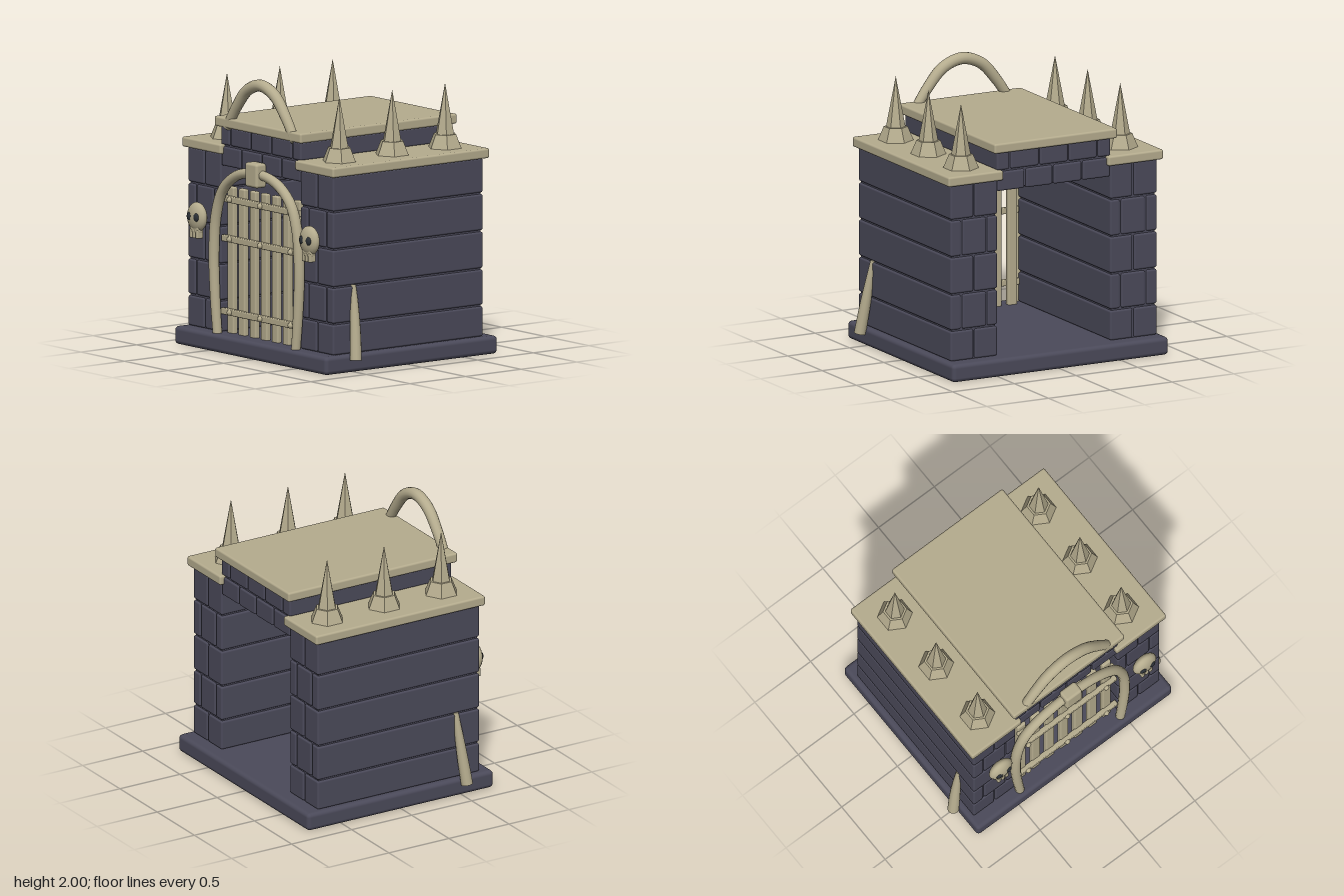
import * as THREE from 'three';
import { RoundedBoxGeometry } from 'three/addons/geometries/RoundedBoxGeometry.js';

const mat = (name, color, flat = false) => {
  const m = new THREE.MeshStandardMaterial({ color, flatShading: flat });
  m.name = name;
  return m;
};

export function createModel() {
  const stone = mat('slate stone', 0x4b4a5a);
  const bone = mat('bone', 0xb5ac8e);
  const boneFlat = mat('faceted bone', 0xb5ac8e, true);
  const dark = mat('eye socket', 0x2b3036);
  const model = new THREE.Group();
  model.name = 'crypt';

  const group = (name) => {
    const g = new THREE.Group();
    g.name = name;
    model.add(g);
    return g;
  };
  const add = (parent, name, geo, material, x = 0, y = 0, z = 0) => {
    const m = new THREE.Mesh(geo, material);
    m.name = name;
    m.position.set(x, y, z);
    parent.add(m);
    return m;
  };
  // Rounded block given by its limits on each axis
  const block = (parent, name, material, [x0, x1], [y0, y1], [z0, z1], r = 0.012) =>
    add(parent, name, new RoundedBoxGeometry(x1 - x0, y1 - y0, z1 - z0, 2, r), material,
      (x0 + x1) / 2, (y0 + y1) / 2, (z0 + z1) / 2);

  // Round tube along points, with a radius that varies and flat end discs
  const horn = (parent, name, pts, radiusAt, segs = 40, sides = 14) => {
    const curve = new THREE.CatmullRomCurve3(pts.map((p) => new THREE.Vector3(...p)));
    const geo = new THREE.TubeGeometry(curve, segs, 1, sides);
    const pos = geo.attributes.position, nor = geo.attributes.normal;
    const p = new THREE.Vector3(), n = new THREE.Vector3();
    for (let i = 0; i < pos.count; i++) {
      const t = Math.floor(i / (sides + 1)) / segs;
      n.fromBufferAttribute(nor, i);
      curve.getPointAt(t, p).addScaledVector(n, radiusAt(t));
      pos.setXYZ(i, p.x, p.y, p.z);
    }
    add(parent, name, geo, bone);
    for (const t of [0, 1]) {
      const c = curve.getPointAt(t);
      const disc = add(parent, name + 'End', new THREE.CircleGeometry(radiusAt(t), sides), bone, c.x, c.y, c.z);
      const dir = curve.getTangentAt(t).multiplyScalar(t ? 1 : -1);
      disc.quaternion.setFromUnitVectors(new THREE.Vector3(0, 0, 1), dir);
    }
  };

  // Floor slab
  block(model, 'base', stone, [-0.875, 0.875], [0, 0.13], [-0.785, 0.765], 0.03);

  // Courses of long blocks over a recessed core
  const wallZ = [-0.68, 0.668], capZ = [-0.713, 0.697], gap = 0.006;
  const course = (parent, xs, y0, y1) => {
    for (let i = 0; i < xs.length - 1; i++) {
      block(parent, 'brick', stone, [xs[i] + (i ? gap : 0), xs[i + 1] - (i < xs.length - 2 ? gap : 0)],
        [y0 + gap, y1 - gap], wallZ, 0.014);
    }
  };
  const core = (parent, x0, x1, y0, y1) => add(parent, 'core',
    new THREE.BoxGeometry(x1 - x0 - 0.028, y1 - y0, 1.32), stone, (x0 + x1) / 2, (y0 + y1) / 2, -0.006);

  // Side walls with bone caps and spikes
  const rows = [0.125, 0.352, 0.615, 0.887, 1.157, 1.416];
  for (const s of [-1, 1]) {
    const wall = group(s > 0 ? 'leftWall' : 'rightWall');
    const mir = (a) => (s > 0 ? a : a.map((v) => -v).reverse());
    const [w0, w1] = mir([0.457, 0.835]);
    core(wall, w0, w1, 0.12, 1.41);
    for (let r = 0; r < 5; r++) {
      const xs = r % 2 ? [0.457, 0.542, 0.745, 0.835] : [0.457, 0.645, 0.835];
      course(wall, mir(xs), rows[r], rows[r + 1]);
    }
    block(wall, 'wallCap', bone, mir([0.425, 0.87]), [1.41, 1.482], capZ, 0.015);
    for (const z of [-0.485, -0.01, 0.465]) {
      add(wall, 'spikeFoot', new THREE.CylinderGeometry(0.085, 0.127, 0.1, 6), boneFlat, s * 0.645, 1.53, z);
      add(wall, 'spike', new THREE.ConeGeometry(0.07, 0.37, 6), boneFlat, s * 0.645, 1.76, z);
    }
  }

  // Ceiling courses and roof slab
  const roof = group('roof');
  core(roof, -0.46, 0.46, 1.34, 1.6);
  course(roof, [-0.455, -0.23, 0.005, 0.23, 0.455], 1.32, 1.472);
  course(roof, [-0.46, -0.355, -0.12, 0.115, 0.355, 0.46], 1.472, 1.614);
  block(roof, 'roofSlab', bone, [-0.497, 0.497], [1.608, 1.68], capZ, 0.015);

  // Curved horn above the entrance
  const crest = group('crest');
  horn(crest, 'crestHorn', [[-0.39, 1.61, 0.663], [-0.28, 1.77, 0.663], [-0.155, 1.905, 0.663], [0, 1.957, 0.663],
    [0.155, 1.905, 0.663], [0.28, 1.77, 0.663], [0.39, 1.61, 0.663]],
  (t) => 0.034 + 0.009 * Math.sin(Math.PI * t));

  // Doorway arch and keystone
  const arch = group('doorArch');
  const side = [[0.45, 0.12], [0.477, 0.4], [0.49, 0.7], [0.465, 0.97], [0.39, 1.16], [0.23, 1.285]];
  horn(arch, 'archTube', [...side.map(([x, y]) => [-x, y, 0.704]), [0, 1.328, 0.704],
    ...side.slice().reverse().map(([x, y]) => [x, y, 0.704])],
  (t) => 0.034 + 0.005 * Math.abs(Math.sin(2 * Math.PI * t)), 64);
  block(arch, 'keystone', bone, [-0.07, 0.07], [1.235, 1.41], [0.665, 0.76], 0.02);

  // Slatted gate with rails and bolts
  const gate = group('gate');
  for (let i = -3; i <= 3; i++) {
    const x = i * 0.127;
    block(gate, 'slat', bone, [x - 0.037, x + 0.037], [0.12, 1.18], [0.6, 0.643], 0.012);
  }
  for (const [y, w] of [[0.283, 0.455], [0.808, 0.45], [1.092, 0.43]]) {
    block(gate, 'rail', bone, [-w, w], [y - 0.023, y + 0.023], [0.635, 0.672], 0.008);
    for (const x of [-0.35, 0, 0.35]) add(gate, 'bolt', new THREE.SphereGeometry(0.022, 12, 8), bone, x, y, 0.672);
  }

  // Skull ornaments and leaning tusks
  const ball = (parent, name, m, x, y, z, rx, ry, rz) =>
    add(parent, name, new THREE.SphereGeometry(1, 20, 14), m, x, y, z).scale.set(rx, ry, rz);
  for (const s of [-1, 1]) {
    const skull = group('skull');
    skull.position.set(s * 0.645, 0, 0);
    ball(skull, 'cranium', bone, 0, 0.938, 0.733, 0.098, 0.106, 0.05);
    block(skull, 'jaw', bone, [-0.05, 0.05], [0.825, 0.9], [0.71, 0.765], 0.015);
    for (const k of [-1, 0, 1]) {
      block(skull, 'tooth', bone, [k * 0.034 - 0.014, k * 0.034 + 0.014], [0.788, 0.85], [0.712, 0.768], 0.008);
      if (k) ball(skull, 'eye', dark, k * 0.038, 0.942, 0.772, 0.027, 0.031, 0.015);
    }
    const tusk = group('tusk');
    horn(tusk, 'tuskHorn', [[s * 0.905, 0.09, 0.52], [s * 0.873, 0.3, 0.5], [s * 0.838, 0.52, 0.483], [s * 0.822, 0.62, 0.478]],
      (t) => 0.042 - 0.024 * t * t, 16, 12);
  }
  return model;
}
